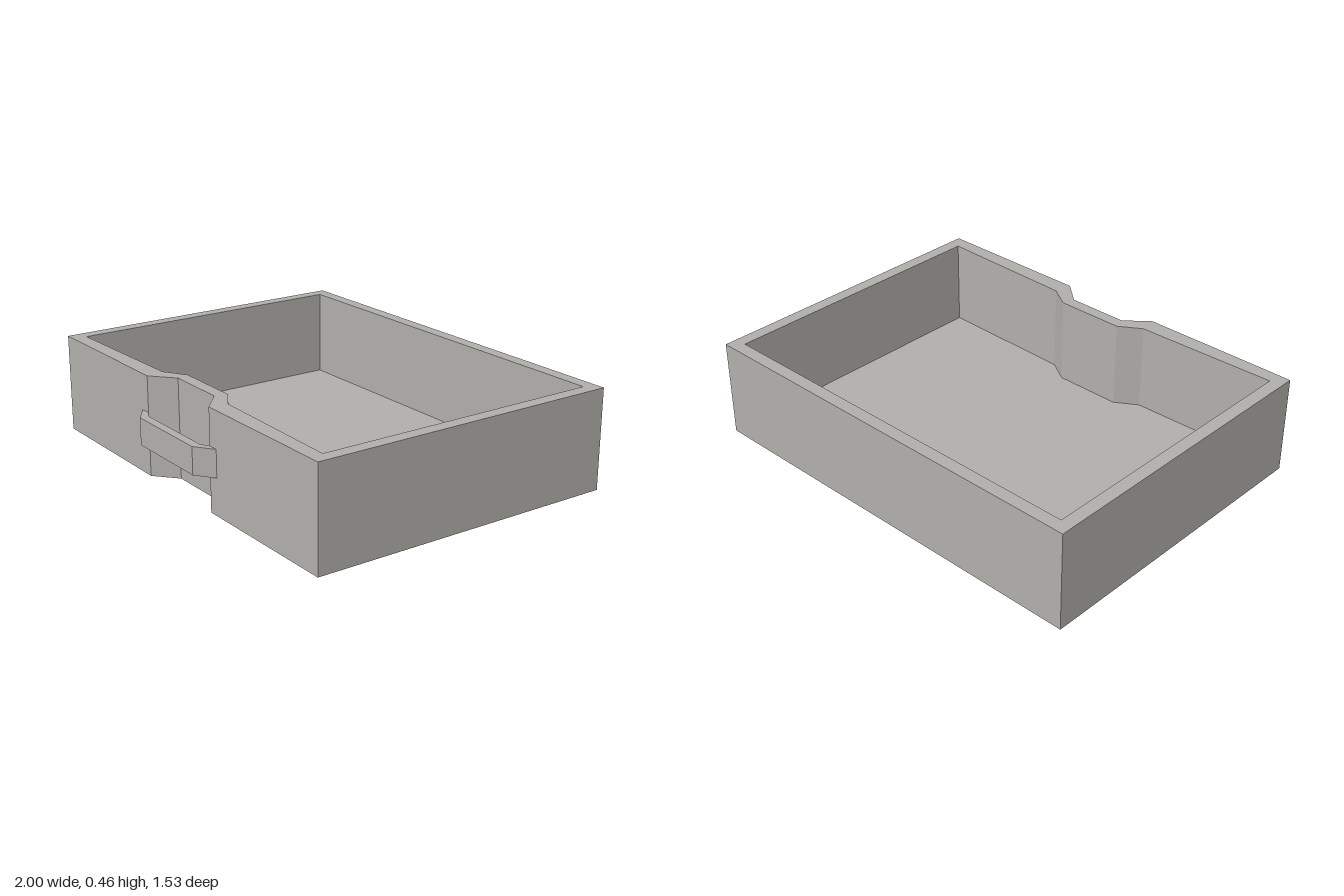
import * as THREE from 'three';

const HEIGHT = 0.46, FLOOR = 0.05;

// Right half of each plan outline as [x, z], back to front
const OUTER = [[1, -0.765], [1, 0.703], [0.25, 0.703], [0.145, 0.612]];
const INNER = [[0.94, -0.705], [0.94, 0.638], [0.265, 0.62], [0.162, 0.555]];
const HANDLE = [[0.25, 0.703], [0.30, 0.703], [0.215, 0.765]];
const HANDLE_INSIDE = [[0.21, 0.725], [0.25, 0.703]];

const mirror = (half) => [...half, ...half.map(([x, z]) => [-x, z]).reverse()];
const toPoints = (outline, sign) => outline.map(([x, z]) => new THREE.Vector2(x, sign * z));

// Horizontal sheet, facing up or down
function sheet(outline, y, up, hole) {
  const sign = up ? -1 : 1;
  const shape = new THREE.Shape(toPoints(outline, sign));
  if (hole) shape.holes.push(new THREE.Path(toPoints(hole, sign)));
  return new THREE.ShapeGeometry(shape).rotateX(sign * Math.PI / 2).translate(0, y, 0);
}

// Flat vertical walls following a closed outline
function walls(outline, y0, y1, inward) {
  const pos = [];
  outline.forEach((p, i) => {
    const q = outline[(i + 1) % outline.length];
    const [a, b] = inward ? [p, q] : [q, p];
    const a0 = [a[0], y0, a[1]], b0 = [b[0], y0, b[1]];
    const a1 = [a[0], y1, a[1]], b1 = [b[0], y1, b[1]];
    pos.push(...a0, ...b0, ...b1, ...a0, ...b1, ...a1);
  });
  const geo = new THREE.BufferGeometry();
  geo.setAttribute('position', new THREE.Float32BufferAttribute(pos, 3));
  geo.computeVertexNormals();
  return geo;
}

export function createModel() {
  const group = new THREE.Group();
  group.name = 'drawer';
  const grey = new THREE.MeshStandardMaterial({ color: 0xb0aeaa });
  grey.name = 'warm grey';
  const add = (name, geo) => {
    const mesh = new THREE.Mesh(geo, grey);
    mesh.name = name;
    group.add(mesh);
  };

  // Tray with a recess in the front behind the handle
  const outer = mirror(OUTER), inner = mirror(INNER);
  add('outerWalls', walls(outer, 0, HEIGHT, false));
  add('innerWalls', walls(inner, FLOOR, HEIGHT, true));
  add('rim', sheet(outer, HEIGHT, true, inner));
  add('floor', sheet(inner, FLOOR, true));
  add('underside', sheet(outer, 0, false));

  // Angled pull handle bridging the recess
  const bar = [...HANDLE, ...HANDLE.map(([x, z]) => [-x, z]).reverse(),
    ...HANDLE_INSIDE.map(([x, z]) => [-x, z]), HANDLE_INSIDE[0]];
  // Inner corner order: left end, left bend, right bend
  bar.splice(6, 3, [-HANDLE_INSIDE[0][0], HANDLE_INSIDE[0][1]], HANDLE_INSIDE[0]);
  const handle = new THREE.ExtrudeGeometry(new THREE.Shape(toPoints(bar, -1)),
    { depth: 0.125, bevelEnabled: false });
  add('handle', handle.rotateX(-Math.PI / 2).translate(0, 0.168, 0));

  return group;
}
